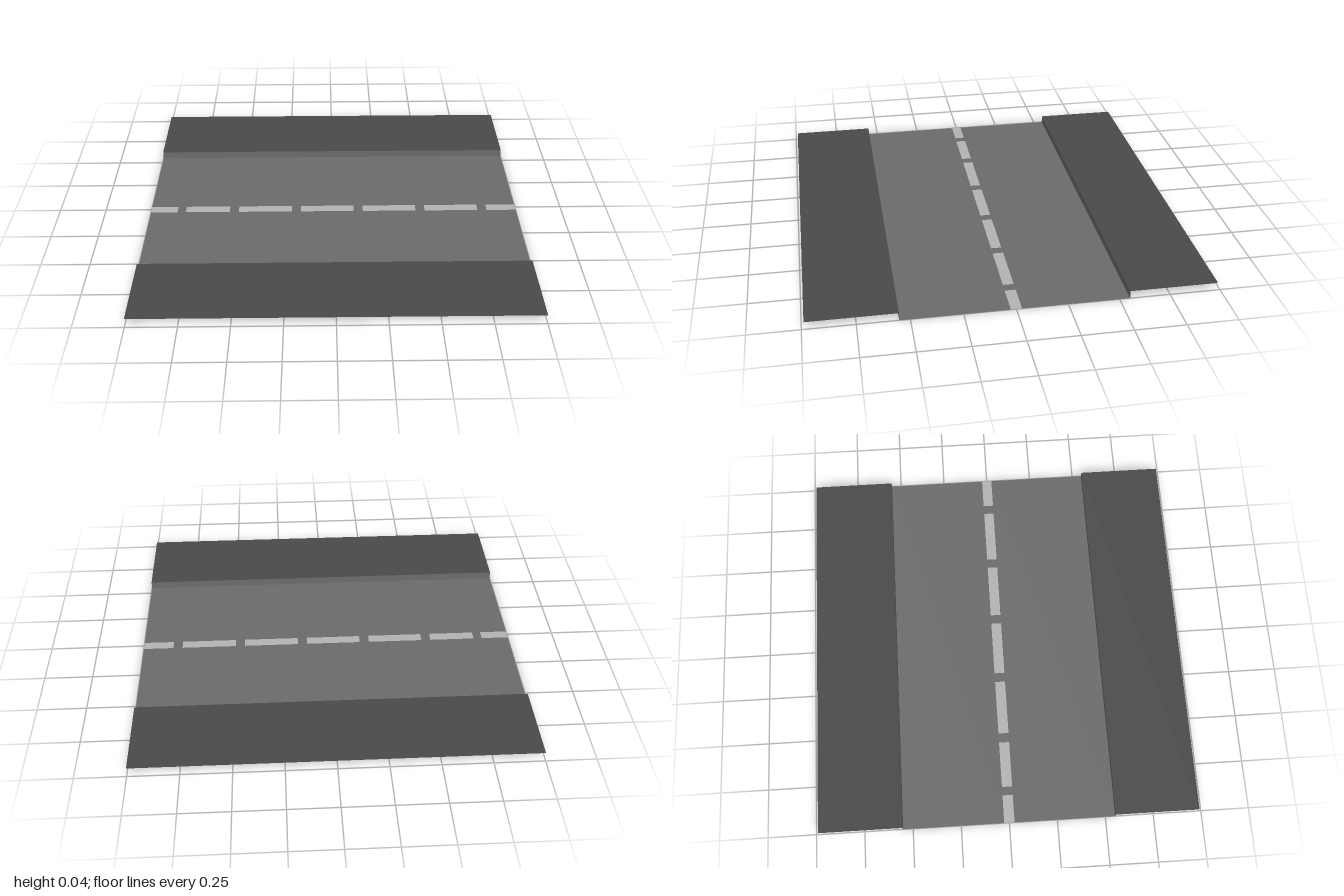
import * as THREE from 'three';

const mat = (color) => new THREE.MeshStandardMaterial({ color, side: THREE.DoubleSide });

export function createModel() {
  const group = new THREE.Group();
  group.name = 'roadSection';
  const asphalt = mat(0x6c6c6c), paving = mat(0x4a4a4a), paint = mat(0xb4b4b4);

  const HALF = 1, EDGE = 0.987, CURB = 0.552, LINE = 0.027, HEIGHT = 0.04;

  // Flat horizontal sheet facing up, spanning x0..x1 and z0..z1
  function sheet(name, material, x0, x1, z0, z1, y = 0) {
    const geometry = new THREE.PlaneGeometry(x1 - x0, z1 - z0).rotateX(-Math.PI / 2);
    const mesh = new THREE.Mesh(geometry, material);
    mesh.position.set((x0 + x1) / 2, y, (z0 + z1) / 2);
    mesh.name = name;
    group.add(mesh);
  }

  // Lanes, curbs and sidewalks, mirrored front to back
  for (const s of [1, -1]) {
    const side = s > 0 ? 'front' : 'back';
    const span = (a, b) => (s > 0 ? [a, b] : [-b, -a]);
    sheet(side + 'Lane', asphalt, -HALF, HALF, ...span(LINE, CURB));
    sheet(side + 'Sidewalk', paving, -HALF, HALF, ...span(CURB, EDGE), HEIGHT);

    const curb = new THREE.Mesh(new THREE.PlaneGeometry(2 * HALF, HEIGHT), asphalt);
    curb.position.set(0, HEIGHT / 2, s * CURB);
    if (s > 0) curb.rotation.y = Math.PI; // faces the road
    curb.name = side + 'Curb';
    group.add(curb);
  }

  // Centre line: painted dashes set flush between asphalt gaps
  const dashes = [
    [-1, -0.855], [-0.81, -0.57], [-0.52, -0.23], [-0.18, 0.11],
    [0.16, 0.45], [0.5, 0.79], [0.84, 1],
  ];
  dashes.forEach(([x0, x1], i) => {
    sheet('centreDash', paint, x0, x1, -LINE, LINE);
    if (i < dashes.length - 1) sheet('dashGap', asphalt, x1, dashes[i + 1][0], -LINE, LINE);
  });

  return group;
}
